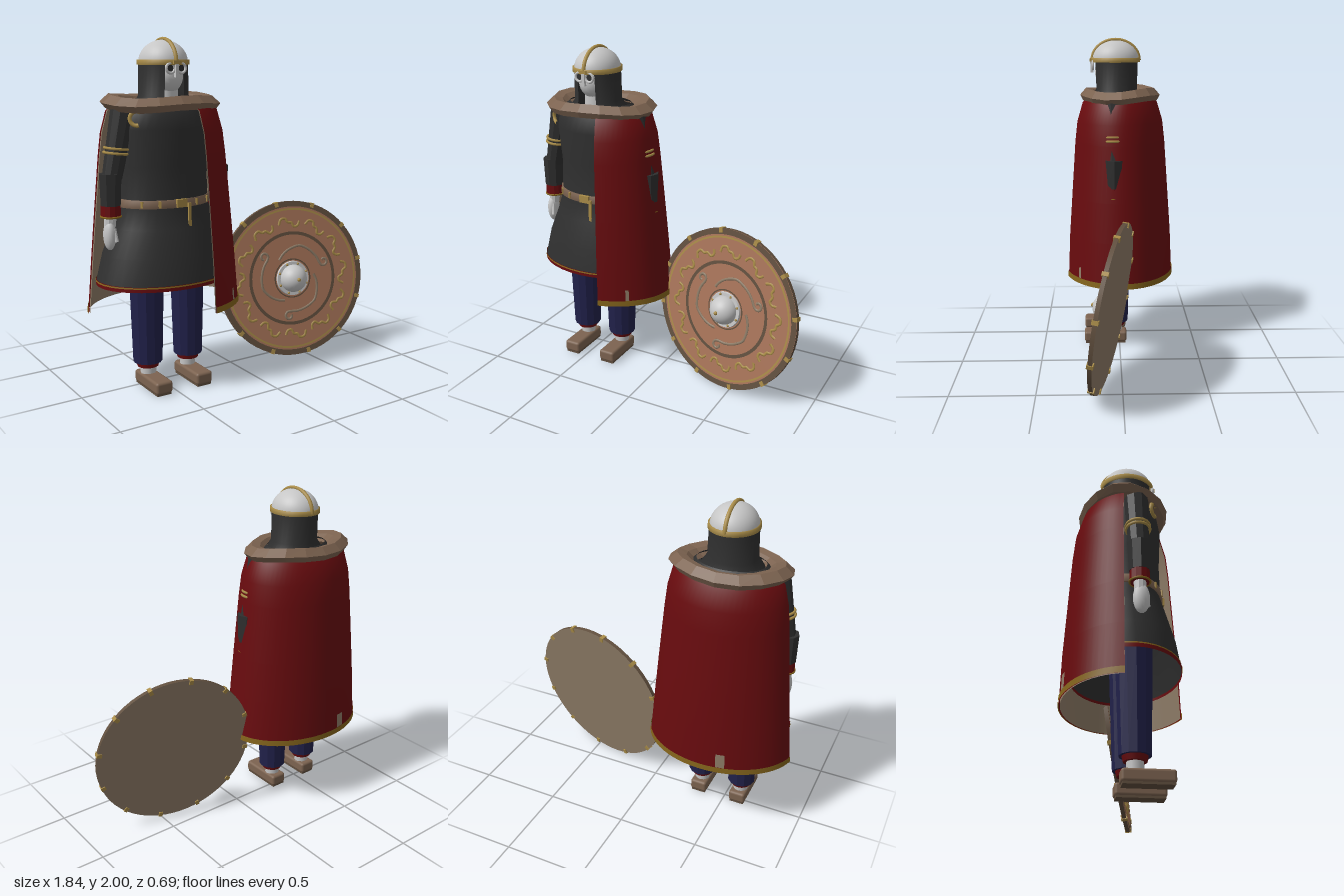
import * as THREE from 'three';
import { RoundedBoxGeometry } from 'three/addons/geometries/RoundedBoxGeometry.js';

const mat = (name, color, double) => {
  const m = new THREE.MeshStandardMaterial({ color });
  m.name = name;
  if (double) m.side = THREE.DoubleSide;
  return m;
};
const flat = (g) => { const n = g.toNonIndexed(); n.computeVertexNormals(); return n; };
const V = (x, y, z) => new THREE.Vector3(x, y, z);

// Elliptical skin through rings [y, rx, rz]; angles in degrees, 0 = front, 90 = +x
function loft(rings, a0 = 0, a1 = 360, seg = 36, warp = () => 0) {
  const full = a1 - a0 === 360, cols = full ? seg : seg + 1, pos = [], idx = [];
  rings.forEach(([y, rx, rz]) => {
    for (let i = 0; i < cols; i++) {
      const a = THREE.MathUtils.degToRad(a0 + (a1 - a0) * i / seg);
      pos.push(rx * Math.sin(a), y + warp(a), rz * Math.cos(a));
    }
  });
  for (let j = 0; j < rings.length - 1; j++) for (let i = 0; i < seg; i++) {
    const k = (i + 1) % cols, a = j * cols + i, b = j * cols + k;
    idx.push(a, b, b + cols, a, b + cols, a + cols);
  }
  const g = new THREE.BufferGeometry();
  g.setAttribute('position', new THREE.Float32BufferAttribute(pos, 3));
  g.setIndex(idx);
  g.computeVertexNormals();
  return g;
}

// Tapered limb between two points
function limb(p, q, r0, r1, seg = 10) {
  const d = q.clone().sub(p);
  const g = flat(new THREE.CylinderGeometry(r1, r0, d.length(), seg));
  g.applyQuaternion(new THREE.Quaternion().setFromUnitVectors(V(0, 1, 0), d.clone().normalize()));
  return g.translate(...p.clone().add(q).multiplyScalar(0.5).toArray());
}

export function createModel() {
  const red = mat('red cloth', 0x680b0e, true), dark = mat('dark mail', 0x2f2f2f, true);
  const navy = mat('navy cloth', 0x21214a), fur = mat('brown leather', 0x7c6350);
  const taupe = mat('taupe lining', 0x8e7c67, true), gold = mat('gold', 0xa98c48);
  const ochre = mat('ochre trim', 0x85651c, true), copper = mat('painted wood', 0xa9755a);
  const silver = mat('silver', 0xc6c6c6), wood = mat('dark wood', 0x62503f);

  const model = new THREE.Group();
  const figure = new THREE.Group();
  figure.name = 'figure';
  figure.position.x = -0.46;
  model.add(figure);
  const add = (parent, name, geo, m, x = 0, y = 0, z = 0) => {
    const mesh = new THREE.Mesh(geo, m);
    mesh.name = name;
    mesh.position.set(x, y, z);
    parent.add(mesh);
    return mesh;
  };

  // Tunic, hem and belt
  add(figure, 'tunic', loft([[0.64, 0.41, 0.3], [0.8, 0.37, 0.275], [0.95, 0.31, 0.235], [1.07, 0.272, 0.2],
    [1.3, 0.265, 0.195], [1.5, 0.285, 0.205], [1.6, 0.27, 0.19], [1.66, 0.2, 0.14]]), dark);
  add(figure, 'tunicHem', loft([[0.625, 0.412, 0.302], [0.655, 0.41, 0.302]]), red);
  add(figure, 'hemLine', loft([[0.645, 0.4145, 0.3055], [0.653, 0.413, 0.304]]), ochre);
  add(figure, 'belt', loft([[1.07, 0.272, 0.2], [1.07, 0.284, 0.212], [1.115, 0.28, 0.208], [1.115, 0.265, 0.195]]), fur);
  add(figure, 'buckle', new THREE.BoxGeometry(0.065, 0.045, 0.02), gold, 0, 1.095, 0.212);
  add(figure, 'beltEnd', new THREE.BoxGeometry(0.018, 0.14, 0.012), gold, 0.045, 1.025, 0.222);
  [-48, -26, 22, 45].forEach((d) => {
    const a = THREE.MathUtils.degToRad(d);
    const stud = add(figure, 'beltStud', new THREE.BoxGeometry(0.014, 0.036, 0.012), gold,
      0.282 * Math.sin(a), 1.093, 0.21 * Math.cos(a));
    stud.rotation.y = a;
  });

  // Cloak wraps from the front left round the back to the right side
  const profile = [[0.465, 0.46, 0.352], [0.75, 0.435, 0.34], [1.0, 0.412, 0.322], [1.35, 0.378, 0.297],
    [1.48, 0.362, 0.282], [1.6, 0.33, 0.245], [1.65, 0.27, 0.19]];
  const cloakSkin = (y0, y1, off, a0 = 19, a1 = 260, seg = 44) => {
    const at = (y) => {
      const i = Math.max(1, profile.findIndex((p) => p[0] >= y)), p = profile[i - 1], q = profile[i];
      const t = (y - p[0]) / (q[0] - p[0]);
      return [y, p[1] + (q[1] - p[1]) * t + off, p[2] + (q[2] - p[2]) * t + off];
    };
    const ys = [y0, ...profile.map((p) => p[0]).filter((y) => y > y0 && y < y1), y1];
    return loft(ys.map(at), a0, a1, seg);
  };
  add(figure, 'cloak', cloakSkin(0.465, 1.65, 0), red);
  add(figure, 'cloakLining', cloakSkin(0.465, 1.62, -0.007), taupe);
  add(figure, 'cloakTrim', cloakSkin(0.465, 0.5, 0.005), ochre);
  add(figure, 'cloakFrontTear', cloakSkin(0.5, 0.57, 0.003, 42, 45, 2), taupe);
  add(figure, 'cloakBackTear', cloakSkin(0.5, 0.59, 0.003, 191, 198, 2), taupe);

  // Fur collar: closed, faceted section
  const collar = loft([[1.6, 0.27, 0.19], [1.605, 0.33, 0.24], [1.64, 0.36, 0.258], [1.683, 0.31, 0.22],
    [1.672, 0.255, 0.18], [1.63, 0.2, 0.15], [1.6, 0.27, 0.19]], 0, 360, 16,
  (a) => 0.008 * Math.sin(3 * a + 1) - 0.006 * Math.cos(a));
  add(figure, 'furCollar', flat(collar), fur, 0, 0, -0.008);
  const brooch = add(figure, 'brooch', new THREE.TorusGeometry(0.038, 0.011, 8, 16, 4), gold, -0.23, 1.565, 0.14);
  brooch.rotation.set(0, -0.6, 1);

  // Head, mail curtain and helmet
  const head = new THREE.Group();
  head.name = 'head';
  head.position.z = 0.02;
  figure.add(head);
  add(head, 'face', new THREE.SphereGeometry(1, 24, 16), silver, 0, 1.79, 0.01).scale.set(0.1, 0.11, 0.125);
  add(head, 'neck', new THREE.CylinderGeometry(0.07, 0.075, 0.14, 16), silver, 0, 1.67, 0.02);
  add(head, 'mailCurtain', loft([[1.6, 0.2, 0.17], [1.68, 0.143, 0.137], [1.86, 0.137, 0.143]], 25, 335, 30), dark);
  add(head, 'helmetDome', new THREE.SphereGeometry(1, 32, 14, 0, Math.PI * 2, 0, Math.PI / 2), silver, 0, 1.86)
    .scale.set(0.135, 0.125, 0.15);
  add(head, 'helmetBand', loft([[1.848, 0.134, 0.149], [1.848, 0.143, 0.158], [1.876, 0.143, 0.158],
    [1.876, 0.13, 0.145]]), gold);
  const ridge = new THREE.TorusGeometry(0.15, 0.012, 8, 28, Math.PI);
  add(head, 'helmetRidge', ridge.rotateY(Math.PI / 2), gold, 0, 1.86).scale.y = 0.865;
  for (const s of [-1, 1]) {
    add(head, 'eyeGuard', new THREE.TorusGeometry(0.026, 0.008, 8, 20), silver, 0.034 * s, 1.83, 0.146);
    add(head, 'eyeHole', new THREE.CircleGeometry(0.02, 16), dark, 0.034 * s, 1.83, 0.142);
  }
  add(head, 'noseGuard', new THREE.BoxGeometry(0.02, 0.075, 0.02), silver, 0, 1.818, 0.153);
  add(head, 'browPlate', new THREE.BoxGeometry(0.045, 0.018, 0.016), gold, 0, 1.862, 0.158);

  // Arms and legs, mirrored
  for (const s of [-1, 1]) {
    const arm = new THREE.Group(), leg = new THREE.Group();
    arm.name = s > 0 ? 'leftArm' : 'rightArm';
    leg.name = s > 0 ? 'leftLeg' : 'rightLeg';
    figure.add(arm, leg);
    const P = (x, y, z = 0.035) => V(x * s, y, z);
    add(arm, 'upperSleeve', limb(P(0.335, 1.24), P(0.26, 1.6), 0.056, 0.07), dark);
    add(arm, 'lowerSleeve', limb(P(0.347, 1.09), P(0.345, 1.265), 0.058, 0.065, 8), dark);
    add(arm, 'cuff', limb(P(0.347, 1.025), P(0.347, 1.1), 0.056, 0.054, 12), red);
    add(arm, 'cuffTrim', new THREE.TorusGeometry(0.055, 0.006, 6, 20).rotateX(Math.PI / 2), ochre, 0.347 * s, 1.028, 0.035);
    add(arm, 'wrist', limb(P(0.355, 0.97), P(0.35, 1.03), 0.032, 0.034), silver);
    add(arm, 'hand', new THREE.SphereGeometry(1, 16, 12), silver, 0.36 * s, 0.925, 0.04).scale.set(0.034, 0.085, 0.045);
    add(arm, 'thumb', limb(P(0.335, 0.89, 0.08), P(0.345, 0.96, 0.06), 0.011, 0.016, 8), silver);
    for (const y of [1.375, 1.4]) {
      const ring = add(arm, 'armRing', new THREE.TorusGeometry(0.065, 0.008, 6, 20).rotateX(Math.PI / 2), gold,
        (0.31 - (y - 1.375) * 0.2) * s, y, 0.035);
      ring.rotation.z = 0.12 * s;
    }

    add(leg, 'trouserLeg', limb(P(0.134, 0.15, 0.03), P(0.134, 0.76, 0.03), 0.085, 0.102, 12), navy);
    add(leg, 'trouserCuff', new THREE.CylinderGeometry(0.07, 0.062, 0.035, 16), red, 0.134 * s, 0.138, 0.03);
    add(leg, 'ankle', new THREE.CylinderGeometry(0.046, 0.046, 0.08, 12), silver, 0.132 * s, 0.098, 0.03);
    add(leg, 'shoe', new RoundedBoxGeometry(0.105, 0.07, 0.28, 2, 0.016), fur, 0.132 * s, 0.045, 0.093);
    add(leg, 'sole', new THREE.BoxGeometry(0.09, 0.014, 0.265), wood, 0.132 * s, 0.007, 0.093);
  }

  // Round shield, leaning back and turned slightly
  const shield = new THREE.Group();
  shield.name = 'shield';
  shield.position.set(0.432, 0.497, 0.062);
  shield.quaternion.setFromUnitVectors(V(0, 0, 1), V(-0.22, 0.14, 1).normalize());
  model.add(shield);
  const F = 0.012;
  add(shield, 'board', new THREE.CylinderGeometry(0.495, 0.495, 2 * F, 64).rotateX(Math.PI / 2), [wood, copper, taupe]);
  const band = (name, r0, r1, m, z) => add(shield, name, new THREE.RingGeometry(r0, r1, 64), m, 0, 0, F + z);
  band('rim', 0.46, 0.495, wood, 0.003);
  band('outerRing', 0.438, 0.45, gold, 0.003);
  band('middleRing', 0.28, 0.3, wood, 0.003);
  band('innerRing', 0.118, 0.126, wood, 0.003);
  const trace = (name, pts, r, m, turn) => {
    const curve = new THREE.CatmullRomCurve3(pts);
    const mesh = add(shield, name, new THREE.TubeGeometry(curve, pts.length * 5, r, 6), m, 0, 0, F + 0.001);
    mesh.scale.z = 0.5;
    mesh.rotation.z = turn;
  };
  for (let k = 0; k < 12; k++) {
    const a = k * Math.PI / 6, c = a + Math.PI / 18;
    trace('scrollwork', [[-0.075, 0.345], [-0.06, 0.38], [-0.03, 0.385], [-0.012, 0.362], [0.012, 0.358],
      [0.03, 0.33], [0.055, 0.335], [0.07, 0.362]].map(([x, y]) => V(x, y, 0)), 0.009, gold, a);
    const clip = add(shield, 'rimClip', new THREE.BoxGeometry(0.03, 0.024, 0.038), gold, 0.484 * Math.cos(c), 0.484 * Math.sin(c), 0);
    clip.rotation.z = c;
  }
  // Three curling arms round the boss
  for (let k = 0; k < 3; k++) {
    const pts = [];
    for (let i = 0; i <= 8; i++) {
      const a = (125 - i * 13) * Math.PI / 180, r = 0.15 + Math.min(i, 4) * 0.016;
      pts.push(V(r * Math.cos(a), r * Math.sin(a), 0));
    }
    const e = pts[8], ctr = V(e.x * 1.13, e.y * 1.13, 0);
    for (let i = 1; i <= 7; i++) {
      const a = Math.PI * 1.1 + i * 0.75, r = 0.028 - i * 0.0015;
      pts.push(V(ctr.x + r * Math.cos(a), ctr.y + r * Math.sin(a), 0));
    }
    trace('spiralArm', pts, 0.009, taupe, k * Math.PI * 2 / 3);
  }
  add(shield, 'bossFlange', new THREE.CylinderGeometry(0.108, 0.112, 0.014, 32).rotateX(Math.PI / 2), silver, 0, 0, F + 0.005);
  add(shield, 'bossDome', new THREE.SphereGeometry(0.088, 28, 12, 0, Math.PI * 2, 0, Math.PI / 2).rotateX(Math.PI / 2),
    silver, 0, 0, F + 0.01);
  add(shield, 'bossStud', new THREE.SphereGeometry(0.012, 10, 8), gold, 0, 0, F + 0.098);
  for (let k = 0; k < 8; k++) {
    const a = (k + 0.5) * Math.PI / 4;
    add(shield, 'rivet', new THREE.SphereGeometry(0.008, 8, 6), gold, 0.098 * Math.cos(a), 0.098 * Math.sin(a), F + 0.013);
  }
  return model;
}
